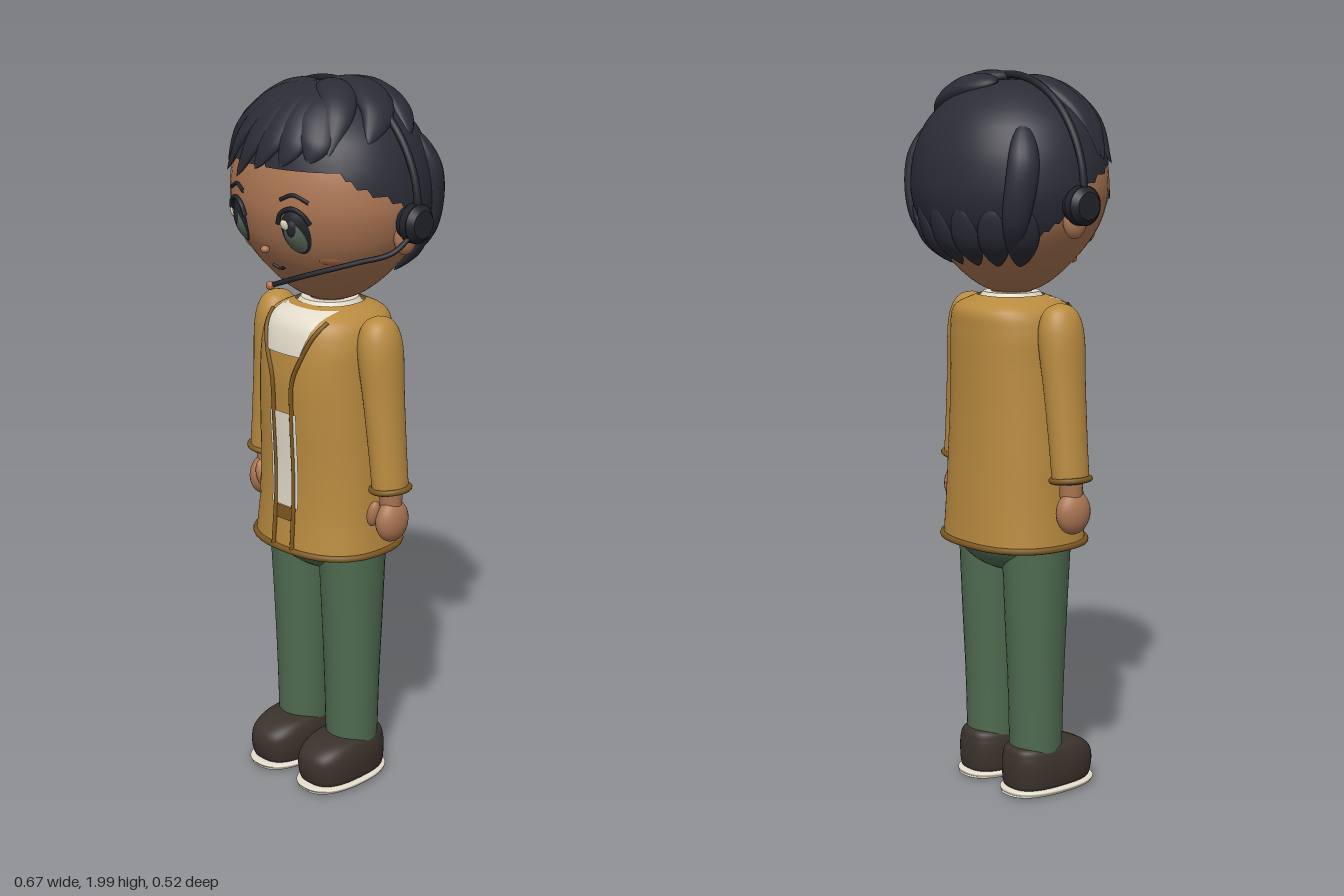
import * as THREE from 'three';
import { ParametricGeometry } from 'three/addons/geometries/ParametricGeometry.js';

const V = (x, y, z) => new THREE.Vector3(x, y, z);
const paint = (name, color) => {
  const m = new THREE.MeshStandardMaterial({ color, side: THREE.DoubleSide });
  m.name = name;
  return m;
};
const lerpTable = (rows, k) => {
  let i = 0;
  while (i < rows.length - 2 && k > rows[i + 1][0]) i++;
  const a = rows[i], b = rows[i + 1];
  const t = THREE.MathUtils.clamp((k - a[0]) / (b[0] - a[0]), 0, 1);
  return a.map((q, j) => q + (b[j] - q) * t);
};
const spow = (v, e) => Math.sign(v) * Math.pow(Math.abs(v), e);

// Smooth sampler through rows of [y, halfWidth, frontZ, backZ]
function sampler(rows) {
  const a = new THREE.CatmullRomCurve3(rows.map(r => V(r[0], r[1], 0)), false, 'catmullrom');
  const b = new THREE.CatmullRomCurve3(rows.map(r => V(r[2], r[3], 0)), false, 'catmullrom');
  return v => { const p = a.getPoint(v), q = b.getPoint(v); return [p.x, p.y, q.x, q.y]; };
}
// Superellipse cross-sections stacked along y
function loft(rows, n, around = 48, up = 32) {
  const at = sampler(rows);
  return new ParametricGeometry((u, v, t) => {
    const [y, rx, zf, zb] = at(v), a = (u - 0.5) * Math.PI * 2, mid = (zf + zb) / 2;
    t.set(rx * spow(Math.sin(a), 2 / n), y, mid + (zf - zb) / 2 * spow(Math.cos(a), 2 / n));
  }, around, up);
}

export function createModel() {
  const skin = paint('skin', 0xac7653), hairMat = paint('hair', 0x2b2c36), coatMat = paint('coat', 0xb98b40),
    trim = paint('trim', 0x7c5822), pants = paint('trousers', 0x4f6b50), shoeMat = paint('shoe', 0x3b322c),
    white = paint('offWhite', 0xe3dccb), iris = paint('iris', 0x56685a), black = paint('black', 0x22232a),
    blush = paint('blush', 0xb86f4a);
  const root = new THREE.Group();
  const add = (name, geo, mat, parent = root, pos = [0, 0, 0], scale = [1, 1, 1]) => {
    const m = new THREE.Mesh(geo, mat);
    m.name = name;
    m.position.set(...pos);
    m.scale.set(...scale);
    parent.add(m);
    return m;
  };
  const ball = (name, mat, parent, pos, r) => add(name, new THREE.SphereGeometry(1, 24, 16), mat, parent, pos, r);
  const tube = (name, pts, r, mat, parent, closed = false) =>
    add(name, new THREE.TubeGeometry(new THREE.CatmullRomCurve3(pts, closed), 40, r, 8, closed), mat, parent);
  const lathe = pts => new THREE.LatheGeometry(
    new THREE.SplineCurve(pts.map(p => new THREE.Vector2(...p))).getPoints(40)
      .map(p => new THREE.Vector2(Math.max(0, p.x), p.y)), 40);
  const side = (name, s) => {
    const g = new THREE.Group();
    g.name = name + (s > 0 ? 'Left' : 'Right');
    g.scale.x = s;
    root.add(g);
    return g;
  };

  // Coat
  const coatRows = [[0.712, 0.207, 0.18, -0.163], [0.82, 0.197, 0.17, -0.158], [0.95, 0.19, 0.168, -0.153],
    [1.08, 0.183, 0.174, -0.15], [1.2, 0.177, 0.177, -0.151], [1.3, 0.172, 0.168, -0.152],
    [1.36, 0.15, 0.145, -0.145], [1.392, 0.09, 0.085, -0.09]];
  add('coat', loft(coatRows, 2.4), coatMat);
  const coatAt = sampler(coatRows);
  const coatTable = Array.from({ length: 81 }, (_, i) => coatAt(i / 80));
  const coatZ = (x, y) => {
    const [, rx, zf, zb] = lerpTable(coatTable, y);
    return (zf + zb) / 2 + (zf - zb) / 2 * Math.pow(Math.max(0, 1 - Math.pow(Math.abs(x) / rx, 2.4)), 1 / 2.4);
  };
  const coatPatch = (name, y0, y1, half, off, mat) => add(name, new ParametricGeometry((u, v, t) => {
    const y = y0 + (y1 - y0) * v, x = (u * 2 - 1) * half(v);
    t.set(x, y, coatZ(x, y) + off);
  }, 12, 12), mat);
  coatPatch('shirtFront', 1.272, 1.385, v => 0.06 + 0.035 * v, 0.004, white);
  coatPatch('shirtPanel', 0.84, 1.11, () => 0.05, 0.004, white);
  coatPatch('beltBuckle', 0.8, 0.838, () => 0.03, 0.004, trim);
  add('shirtCollar', new THREE.CylinderGeometry(0.078, 0.1, 0.03, 32), white, root, [0, 1.385, 0]);
  tube('coatHem', Array.from({ length: 40 }, (_, i) => {
    const a = i / 40 * Math.PI * 2;
    return V(0.208 * spow(Math.sin(a), 0.833), 0.716, 0.008 + 0.173 * spow(Math.cos(a), 0.833));
  }), 0.009, trim, root, true);

  for (const s of [1, -1]) {
    const edge = [[0.105, 1.365], [0.09, 1.33], [0.065, 1.27], [0.038, 1.2], [0.034, 1.1], [0.034, 0.9], [0.036, 0.72]];
    tube('coatEdge', edge.map(([x, y]) => V(x, y, coatZ(x, y) + 0.003)), 0.006, trim, side('coatFront', s));

    // Arm
    const arm = side('arm', s);
    const sleeve = new THREE.Group();
    sleeve.name = 'sleeveGroup';
    sleeve.position.set(0.243, 0.91, 0.01);
    sleeve.rotation.z = 0.11;
    arm.add(sleeve);
    add('sleeve', lathe([[0.04, 0], [0.052, 0], [0.055, 0.1], [0.06, 0.25], [0.066, 0.37], [0.058, 0.43],
      [0.036, 0.463], [0, 0.475]]), coatMat, sleeve, [0, 0, 0], [0.86, 1, 1]);
    add('cuff', new THREE.TorusGeometry(0.053, 0.008, 10, 36).rotateX(Math.PI / 2), trim, sleeve, [0, 0.003, 0], [0.95, 1, 1]);
    add('wrist', new THREE.CylinderGeometry(0.033, 0.03, 0.06, 20), skin, arm, [0.245, 0.89, 0.01]);
    ball('hand', skin, arm, [0.252, 0.824, 0.012], [0.036, 0.06, 0.053]);
    ball('thumb', skin, arm, [0.222, 0.845, 0.052], [0.017, 0.038, 0.02]).rotation.z = -0.2;

    // Leg and shoe
    const leg = side('leg', s);
    add('trouserLeg', loft([[0.1, 0.073, 0.078, -0.07], [0.3, 0.077, 0.083, -0.075], [0.5, 0.083, 0.092, -0.085],
      [0.74, 0.091, 0.105, -0.095]], 2, 32, 20), pants, leg, [0.098, 0, 0.005]);
    add('shoe', loft([[0.018, 0.07, 0.165, -0.075], [0.03, 0.08, 0.18, -0.083], [0.075, 0.083, 0.187, -0.086],
      [0.11, 0.079, 0.175, -0.084], [0.135, 0.066, 0.13, -0.075], [0.142, 0.03, 0.06, -0.04], [0.142, 0.001, 0.002, 0]],
      2.7), shoeMat, leg, [0.098, 0, 0]);
    add('sole', loft([[0, 0.001, 0.051, 0.049], [0.001, 0.07, 0.175, -0.08], [0.01, 0.087, 0.192, -0.093],
      [0.02, 0.084, 0.187, -0.09], [0.024, 0.04, 0.1, -0.04]], 2.4), white, leg, [0.098, 0, 0]);
  }
  ball('hips', pants, root, [0, 0.74, 0.005], [0.185, 0.118, 0.145]);

  // Head
  add('neck', new THREE.CylinderGeometry(0.052, 0.06, 0.1, 24), skin, root, [0, 1.39, 0]);
  const headProfile = [[0, 1.395], [0.06, 1.402], [0.125, 1.436], [0.195, 1.5], [0.248, 1.57], [0.275, 1.64],
    [0.281, 1.7], [0.268, 1.78], [0.228, 1.86], [0.15, 1.925], [0.07, 1.953], [0, 1.96]];
  const headGeo = lathe(headProfile);
  add('head', headGeo, skin, root, [0, 0, 0], [1, 1, 0.885]);
  const radii = new THREE.SplineCurve(headProfile.map(p => new THREE.Vector2(...p))).getPoints(90).map(p => [p.y, p.x]);
  const R = y => lerpTable(radii, y)[1];
  const face = (x, y, off = 0) => V(x, y, 0.885 * Math.sqrt(Math.max(0, R(y) ** 2 - x * x)) + off);

  // Facial features follow the face surface; rise gives a slight dome
  const decal = (name, x, y, rx, ry, off, rise, mat, parent) => {
    const g = new THREE.RingGeometry(0.001, 1, 28, 5), p = g.attributes.position;
    for (let i = 0; i < p.count; i++) {
      const a = p.getX(i), b = p.getY(i), q = face(x + a * rx, y + b * ry, off + rise * (1 - a * a - b * b));
      p.setXYZ(i, q.x, q.y, q.z);
    }
    g.computeVertexNormals();
    return add(name, g, mat, parent);
  };
  for (const s of [1, -1]) {
    const f = side('face', s);
    decal('eyeRim', 0.104, 1.625, 0.038, 0.06, 0.002, 0.014, black, f);
    decal('iris', 0.104, 1.618, 0.03, 0.048, 0.006, 0.014, iris, f);
    decal('pupil', 0.104, 1.628, 0.017, 0.03, 0.012, 0.01, black, f);
    decal('eyeGlint', 0.104 - 0.012 * s, 1.647, 0.011, 0.014, 0.02, 0.004, white, f);
    decal('cheek', 0.162, 1.545, 0.027, 0.011, 0.003, 0.002, blush, f);
    tube('lash', [[0.062, 1.645], [0.075, 1.674], [0.104, 1.688], [0.132, 1.676], [0.149, 1.65]]
      .map(([x, y]) => face(x, y, 0.007)), 0.006, black, f);
    tube('brow', [[0.07, 1.708], [0.105, 1.722], [0.145, 1.705]].map(([x, y]) => face(x, y, 0.003)), 0.005, black, f);
    ball('ear', skin, f, [0.272, 1.605, -0.005], [0.024, 0.048, 0.036]);
  }
  ball('nose', skin, root, [0, 1.565, 0.233], [0.012, 0.01, 0.012]);
  tube('mouth', [[-0.022, 1.513], [0, 1.505], [0.022, 1.513]].map(([x, y]) => face(x, y, 0.002)), 0.004, black, root);

  // Hair cap with a stepped hairline
  const hairline = [[0, 1.79], [0.85, 1.775], [1.05, 1.74], [1.45, 1.7], [1.65, 1.64], [1.95, 1.57], [3.15, 1.53]];
  add('hairCap', new ParametricGeometry((u, v, t) => {
    const a = (u - 0.5) * Math.PI * 2;
    const low = Math.round(lerpTable(hairline, Math.abs(a))[1] * 50) / 50;
    const y = low + (1.9595 - low) * Math.sin(v * Math.PI / 2), r = R(y) * 1.025;
    t.set(r * Math.sin(a), 1.69 + (y - 1.69) * 1.025, r * Math.cos(a) * (0.9 - 0.02 * Math.cos(a)));
  }, 120, 28), hairMat);

  // Tapered locks laid over the skull
  const centre = V(0, 1.69, 0);
  const lock = (name, pts, w, th, lift = 1.03) => {
    const curve = new THREE.CatmullRomCurve3(pts.map(p => {
      const d = V(...p).sub(centre);
      const k = lift / Math.hypot(d.x / 0.285, d.y / 0.272, d.z / (d.z > 0 ? 0.249 : 0.258));
      return d.multiplyScalar(k).add(centre);
    }));
    add(name, new ParametricGeometry((u, v, t) => {
      const p = curve.getPoint(v), T = curve.getTangent(v), N = p.clone().sub(centre).normalize();
      const S = N.clone().cross(T).normalize(), a = u * Math.PI * 2;
      const k = Math.max(0.02, Math.pow(Math.max(0, Math.sin(Math.PI * Math.pow(v, 0.75))), 0.65));
      t.copy(p).addScaledVector(S, Math.cos(a) * w * k).addScaledVector(N, Math.sin(a) * th * k);
    }, 16, 24), hairMat);
  };
  const bangs = [[-0.262, 1.76, 0.1], [-0.235, 1.75, 0.14], [-0.17, 1.74, 0.19], [-0.095, 1.74, 0.23],
    [-0.02, 1.77, 0.235], [0.06, 1.785, 0.225], [0.13, 1.8, 0.2]];
  bangs.forEach(([x, y, z], i) => lock('fringe', [[-0.05 + 0.025 * i, 1.96, 0.01],
    [x * 0.5 + 0.035, 1.935, 0.06 + z * 0.35], [x * 0.86 + 0.03, 1.855, z * 0.95], [x, y, z]], 0.05, 0.021, 1.04));
  lock('crownLock', [[-0.04, 1.95, -0.08], [0.06, 1.95, -0.1], [0.15, 1.91, -0.1], [0.22, 1.85, -0.06]], 0.055, 0.03, 1.04);
  lock('crownLock', [[0.0, 1.96, 0.0], [0.09, 1.95, -0.03], [0.17, 1.9, 0.01], [0.215, 1.84, 0.08]], 0.058, 0.03, 1.04);
  lock('crownLock', [[0.0, 1.96, 0.02], [0.07, 1.95, 0.05], [0.13, 1.9, 0.1], [0.17, 1.82, 0.17]], 0.05, 0.026, 1.04);
  lock('crownLock', [[-0.02, 1.96, 0.02], [-0.11, 1.94, 0.04], [-0.2, 1.88, 0.07], [-0.27, 1.77, 0.09]], 0.05, 0.024, 1.03);
  for (const s of [1, -1])
    lock('sideLock', [[s * 0.2, 1.85, -0.12], [s * 0.24, 1.75, -0.15], [s * 0.22, 1.6, -0.16], [s * 0.17, 1.5, -0.13]], 0.042, 0.024);
  for (let i = -3; i <= 3; i++) {
    const a = i * 0.33, x = Math.sin(a), z = -Math.cos(a);
    lock('napeTuft', [[x * 0.26, 1.64, z * 0.24], [x * 0.23, 1.55, z * 0.21], [x * 0.185, 1.475, z * 0.17]], 0.042, 0.018, 1.0);
  }

  // Headset
  tube('headband', Array.from({ length: 17 }, (_, i) => {
    const a = i / 16 * Math.PI;
    return V(0.312 * Math.cos(a), 1.67 + 0.308 * Math.sin(a), -0.008);
  }), 0.01, black, root);
  for (const s of [1, -1]) {
    const cup = side('earCup', s);
    const disc = (name, r0, r1, w, x) => add(name, new THREE.CylinderGeometry(r1, r0, w, 32).rotateZ(-Math.PI / 2),
      black, cup, [x, 1.645, -0.008]);
    disc('cushion', 0.045, 0.05, 0.02, 0.288);
    disc('shell', 0.052, 0.052, 0.022, 0.306);
    disc('cap', 0.05, 0.036, 0.016, 0.325);
  }
  tube('microphoneBoom', [V(0.315, 1.625, 0.01), V(0.3, 1.58, 0.07), V(0.23, 1.552, 0.13), V(0.12, 1.512, 0.2),
    V(0.025, 1.475, 0.232)], 0.007, black, root);
  ball('microphoneTip', blush, root, [0.02, 1.473, 0.234], [0.012, 0.012, 0.012]);
  return root;
}
